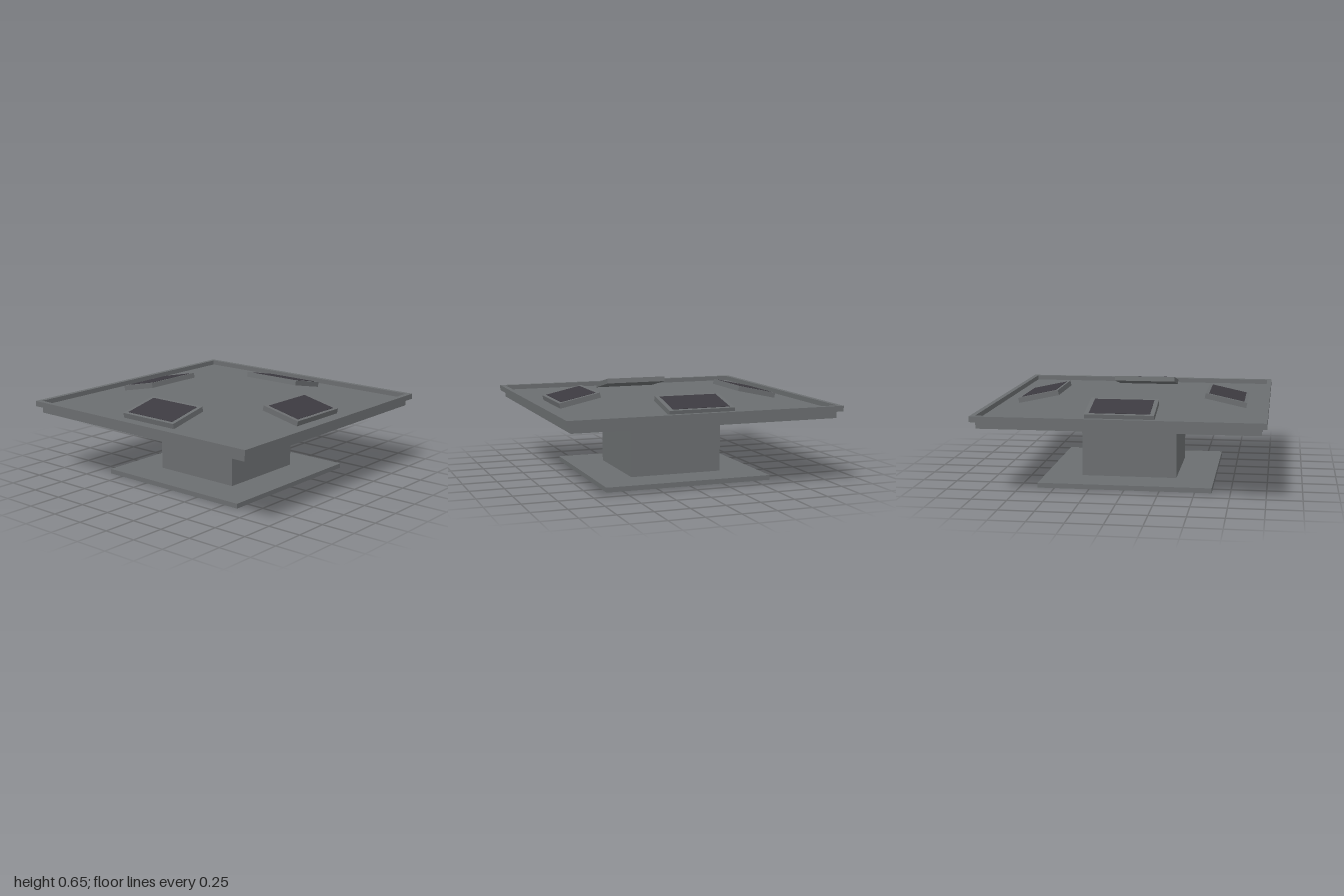
import * as THREE from 'three';

export function createModel() {
  const model = new THREE.Group();
  model.name = 'displayTable';

  const grey = new THREE.MeshStandardMaterial({ color: 0x6b6e70 });
  grey.name = 'metal grey';
  const dark = new THREE.MeshStandardMaterial({ color: 0x3c3a40 });
  dark.name = 'screen dark';

  function box(parent, name, size, position, material = grey) {
    const mesh = new THREE.Mesh(new THREE.BoxGeometry(...size), material);
    mesh.name = name;
    mesh.position.set(...position);
    parent.add(mesh);
    return mesh;
  }

  // Foot plate, square column and table slab
  box(model, 'footPlate', [1.24, 0.035, 1.24], [0, 0.0175, 0]);
  box(model, 'column', [0.69, 0.455, 0.69], [0, 0.26, 0]);
  box(model, 'tableSlab', [1.93, 0.055, 1.93], [0, 0.5125, 0]);

  // Raised rim: two full-length bars and two fitted between them
  for (const side of [-1, 1]) {
    box(model, 'rimEnd', [2, 0.04, 0.035], [0, 0.555, side * 0.9825]);
    box(model, 'rimSide', [0.035, 0.04, 1.93], [side * 0.9825, 0.555, 0]);
  }

  // Four tilted panels, each leaning outward towards its own edge
  const tilt = Math.atan2(0.065, 0.3);
  const length = 0.307, thickness = 0.038;
  for (let i = 0; i < 4; i++) {
    const station = new THREE.Group();
    station.name = 'panelStation';
    station.rotation.y = i * Math.PI / 2;
    model.add(station);

    const panel = new THREE.Group();
    panel.name = 'tiltedPanel';
    panel.position.set(0, 0.594, 0.69);
    panel.rotation.x = tilt;
    station.add(panel);

    box(panel, 'panelBody', [0.48, thickness, length], [0, 0, 0]);
    box(panel, 'screen', [0.42, 0.004, 0.262], [0, thickness / 2, 0], dark);
  }

  return model;
}
